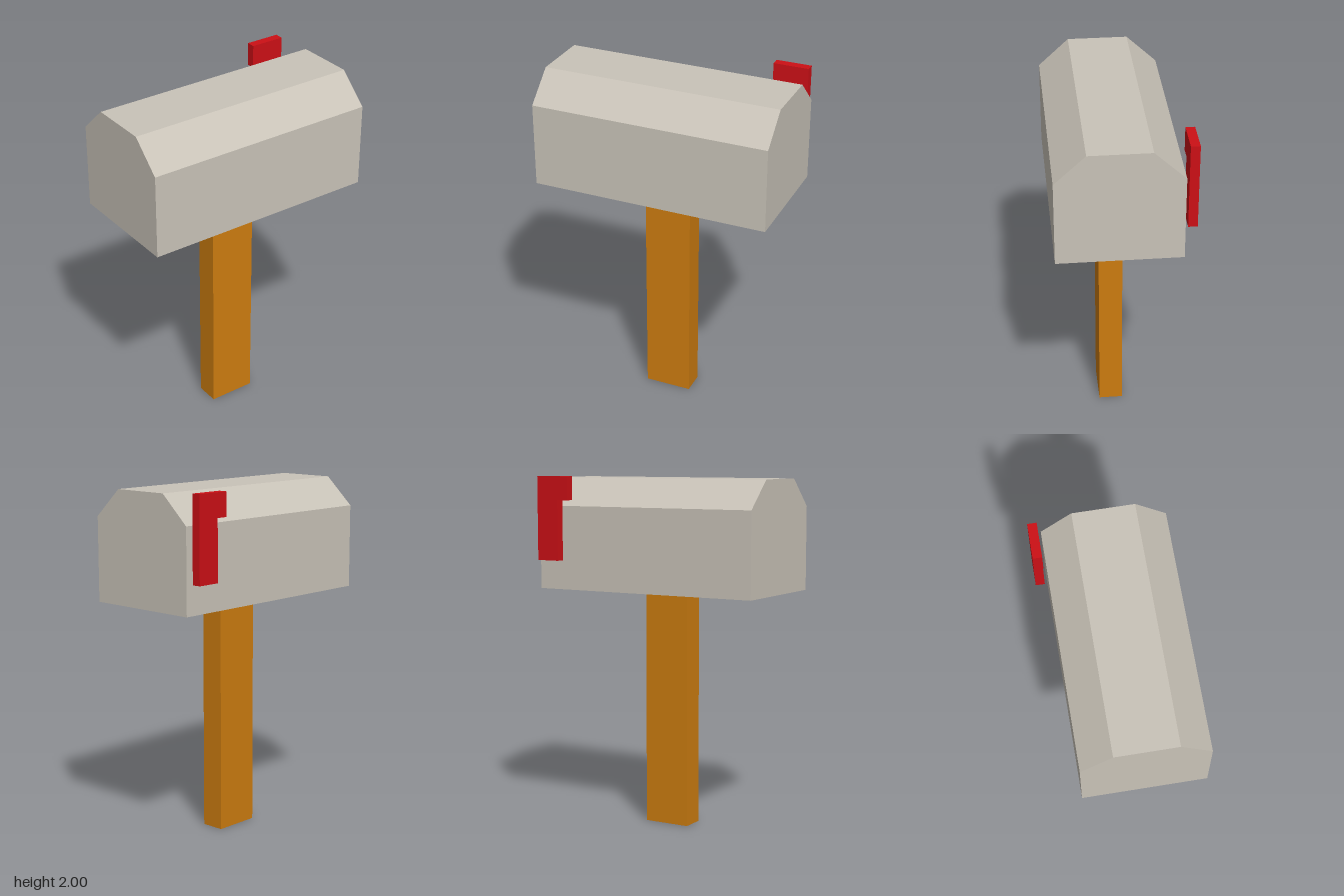
import * as THREE from 'three';

const material = (color) => new THREE.MeshStandardMaterial({ color, flatShading: true });

// Extrudes a closed outline, centred on its depth.
function prism(name, points, depth, mat) {
  const shape = new THREE.Shape(points.map(([x, y]) => new THREE.Vector2(x, y)));
  const geometry = new THREE.ExtrudeGeometry(shape, { depth, bevelEnabled: false });
  geometry.translate(0, 0, -depth / 2);
  const mesh = new THREE.Mesh(geometry, mat);
  mesh.name = name;
  return mesh;
}

export function createModel() {
  const model = new THREE.Group();
  model.name = 'mailbox';

  // Wooden post
  const postHeight = 1.36;
  const post = new THREE.Mesh(new THREE.BoxGeometry(0.135, postHeight, 0.27), material(0xcc7c10));
  post.name = 'post';
  post.position.set(0.033, postHeight / 2, 0);
  model.add(post);

  // Box with chamfered roof edges
  const halfWidth = 0.338, halfTop = 0.169;
  const body = prism('mailboxBody', [
    [-halfWidth, 0], [halfWidth, 0], [halfWidth, 0.473],
    [halfTop, 0.63], [-halfTop, 0.63], [-halfWidth, 0.473],
  ], 1.352, material(0xc9c3b8));
  body.position.set(0.033, postHeight, 0);
  model.add(body);

  // Signal flag: upright arm with a tab pointing forwards at the top
  const flag = prism('flag', [
    [0, 0], [0.135, 0], [0.135, 0.34], [0.202, 0.34], [0.202, 0.473], [0, 0.473],
  ], 0.05, material(0xcc1016));
  flag.rotation.y = -Math.PI / 2;
  flag.position.set(-0.347, 1.527, -0.647);
  model.add(flag);

  return model;
}
